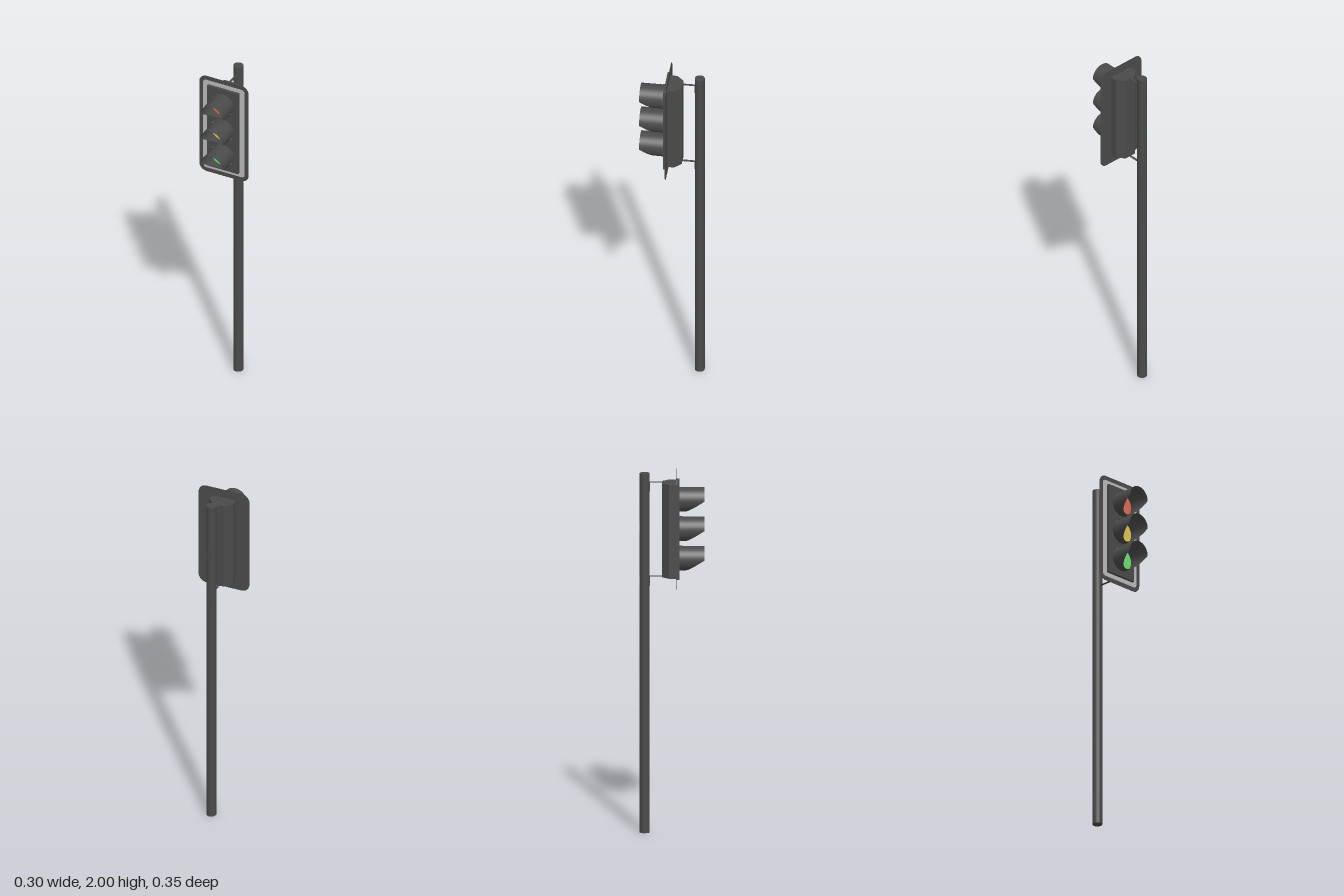
import * as THREE from 'three';

const dark = new THREE.MeshStandardMaterial({ color: 0x4a4a4a });
const darkThin = new THREE.MeshStandardMaterial({ color: 0x4a4a4a, side: THREE.DoubleSide });
const pale = new THREE.MeshStandardMaterial({ color: 0xbbbbbb });

const MID = 1.6875; // height of the signal head's centre

function add(parent, name, geometry, material, x = 0, y = 0, z = 0) {
  const mesh = new THREE.Mesh(geometry, material);
  mesh.name = name;
  mesh.position.set(x, y, z);
  parent.add(mesh);
  return mesh;
}

// Rounded rectangle centred on the origin
function roundedRect(w, h, r, Type = THREE.Shape) {
  const s = new Type(), x = w / 2 - r, y = h / 2 - r;
  s.absarc(x, y, r, 0, Math.PI / 2);
  s.absarc(-x, y, r, Math.PI / 2, Math.PI);
  s.absarc(-x, -y, r, Math.PI, Math.PI * 1.5);
  s.absarc(x, -y, r, Math.PI * 1.5, Math.PI * 2);
  s.closePath();
  return s;
}

const extrude = (shape, depth) =>
  new THREE.ExtrudeGeometry(shape, { depth, bevelEnabled: false, curveSegments: 10 });

// Tube whose front rim is straight above the middle and slopes back below it
function visorGeometry(r, back, tip, lowFront) {
  const g = new THREE.CylinderGeometry(r, r, 1, 48, 1, true).rotateX(Math.PI / 2);
  const p = g.attributes.position;
  for (let i = 0; i < p.count; i++) {
    const drop = Math.max(0, -p.getY(i) / r);
    p.setZ(i, p.getZ(i) > 0 ? tip - (tip - lowFront) * drop : back);
  }
  return g;
}

function createLamp(name, color, y) {
  const lamp = new THREE.Group();
  lamp.name = name;
  lamp.position.y = y;
  const collar = new THREE.CylinderGeometry(0.068, 0.068, 0.016, 48, 1, true).rotateX(Math.PI / 2);
  add(lamp, 'collar', collar, darkThin, 0, 0, 0.047);
  add(lamp, 'visor', visorGeometry(0.066, 0.039, 0.175, 0.075), darkThin);
  add(lamp, 'lens', new THREE.CircleGeometry(0.0675, 48),
    new THREE.MeshStandardMaterial({ color }), 0, 0, 0.045);
  return lamp;
}

export function createModel() {
  const model = new THREE.Group();
  model.name = 'trafficLight';

  // Pole with small clamp plates at its back
  add(model, 'pole', new THREE.CylinderGeometry(0.027, 0.027, 2, 32), dark, 0, 1, -0.15);
  for (const y of [1.7, 1.4])
    add(model, 'clampPlate', new THREE.BoxGeometry(0.024, 0.05, 0.01), dark, 0, y, -0.172);

  // Housing with chamfered back corners
  const profile = new THREE.Shape([
    [-0.071, -0.023], [0.071, -0.023], [0.071, 0.018], [0.033, 0.056], [-0.033, 0.056], [-0.071, 0.018],
  ].map(([x, y]) => new THREE.Vector2(x, y)));
  add(model, 'housing', extrude(profile, 0.522).rotateX(-Math.PI / 2), dark, 0, MID - 0.261, 0);

  // Backing board, pale border and front panel
  add(model, 'backingBoard', extrude(roundedRect(0.3, 0.625, 0.045), 0.002), dark, 0, MID, 0.021);
  const border = roundedRect(0.254, 0.575, 0.02);
  border.holes.push(roundedRect(0.188, 0.52, 0.002, THREE.Path));
  add(model, 'border', extrude(border, 0.0006), pale, 0, MID, 0.023);
  add(model, 'frontPanel', new THREE.BoxGeometry(0.191, 0.525, 0.017), dark, 0, MID, 0.0305);

  // Three lamps
  model.add(createLamp('topLamp', 0xe06a58, 1.854));
  model.add(createLamp('middleLamp', 0xe0c850, 1.69));
  model.add(createLamp('bottomLamp', 0x70e070, 1.526));

  // Angle brackets joining the housing to the pole
  for (const y of [1.949, 1.426]) {
    add(model, 'bracketArm', new THREE.BoxGeometry(0.013, 0.002, 0.131), dark, 0, y, -0.0585);
    add(model, 'bracketFlange', new THREE.BoxGeometry(0.013, 0.05, 0.002), dark, 0, y - 0.025, -0.122);
  }
  return model;
}
